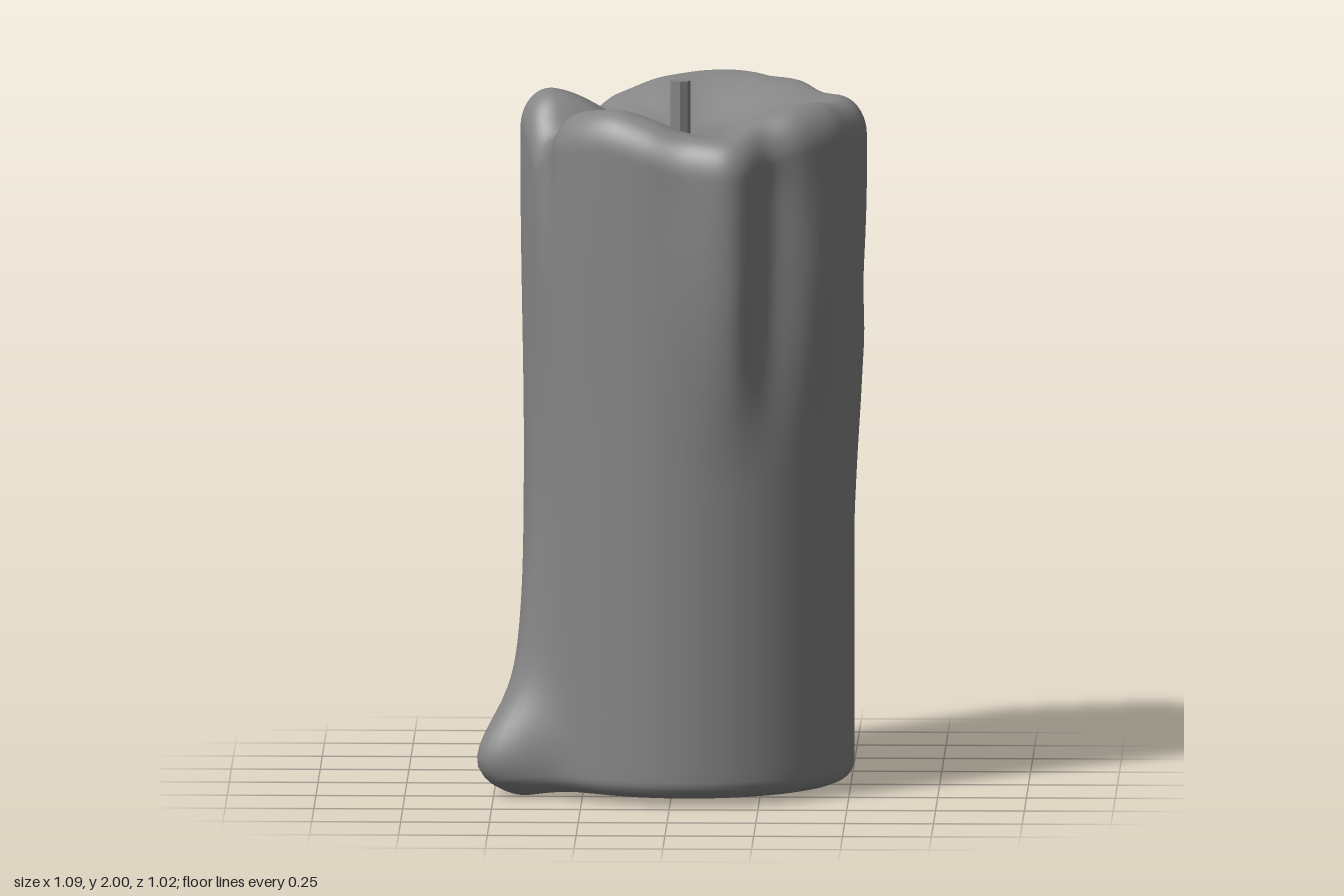
import * as THREE from 'three';

const CX = 0.045, BASE_R = 0.465, SEG = 180, COLOR = 0x858585;
const { smoothstep, lerp } = THREE.MathUtils;

// Values every 15 degrees, from +x round through +z (front)
const LIP_RADIUS = [.5, .498, .497, .485, .478, .525, .482, .467, .468, .472, .468, .458,
  .475, .475, .47, .478, .485, .475, .5, .515, .5, .488, .482, .486];
const RIM_HEIGHT = [1.96, 1.955, 1.97, 1.965, 1.93, 1.9, 1.905, 1.94, 1.965, 1.955, 1.935, 1.95,
  1.975, 1.96, 1.91, 1.87, 1.91, 1.95, 1.965, 1.97, 1.965, 1.96, 1.945, 1.95];

// Wax runs (positive) and grooves (negative): angle, width, depth, lowest y, highest y
const RUNS = [
  [10, 6, .022, .55, 1.55], [314, 6, .034, .7, 1.95], [285, 8, .01, .9, 1.8],
  [240, 5, .014, 1.1, 1.95], [215, 5, .009, .7, 1.5], [73, 6, .008, .9, 1.7],
  [40, 7, .01, .9, 1.8], [302, 5, -.024, .85, 2], [265, 6, -.02, 1, 2],
  [24, 5, -.012, .95, 1.95], [58, 8, -.02, .9, 2], [338, 6, -.008, 1.1, 1.95],
  [151, 7, -.04, 1.45, 2.05], [228, 7, -.01, 1.2, 1.95], [95, 8, -.008, 1.3, 1.95],
];

// Smooth periodic lookup in a 15 degree table
function around(table, deg) {
  const n = table.length, p = deg / 15, i = Math.floor(p), t = p - i;
  const [a, b, c, d] = [-1, 0, 1, 2].map((k) => table[(i + k + n) % n]);
  return b + 0.5 * t * (c - a + t * (2 * a - 5 * b + 4 * c - d + t * (3 * (b - c) + d - a)));
}

// Bell curve over the angle between deg and centre
function bell(deg, centre, width) {
  const d = ((deg - centre + 540) % 360) - 180;
  return Math.exp(-((d / width) ** 2));
}

const footBell = (deg) => bell(deg, 155, deg < 155 ? 13 : 16);

const rimHeight = (deg) => around(RIM_HEIGHT, deg) - 0.075 * bell(deg, 160, 8);

// Outer radius of the wax at an angle and height
function wallRadius(deg, y) {
  let r = BASE_R + (around(LIP_RADIUS, deg) - BASE_R) * smoothstep(y, 0.9, 1.75);
  for (const [angle, width, depth, low, high] of RUNS) {
    const fade = smoothstep(y, low, low + 0.6) * (1 - smoothstep(y, high - 0.3, high));
    r += depth * fade * bell(deg, angle, width);
  }
  // pooled drip at the foot, with a long tail up the wall
  const rise = y - 0.1, below = rise < 0;
  const pool = 0.11 * Math.exp(-((rise / (below ? 0.12 : 0.16)) ** 2))
    + 0.07 * Math.exp(-((rise / (below ? 0.15 : 0.5)) ** 2));
  return r + pool * footBell(deg);
}

// Rows from the centre of the underside, up the wall, over the lip and into the bowl
const ROWS = [];
for (const f of [0, 0.3, 0.6, 0.8, 0.93]) ROWS.push(['under', f]);
for (let i = 0; i <= 6; i++) ROWS.push(['edge', i / 6]);
for (let i = 1; i <= 56; i++) ROWS.push(['wall', i / 56]);
for (let i = 1; i <= 10; i++) ROWS.push(['lip', i / 10]);
for (let i = 1; i <= 24; i++) ROWS.push(['bowl', 1 - i / 24]);

function waxPoint([zone, t], deg) {
  const floor = 0.02 - 0.02 * footBell(deg) ** 2, corner = 0.05;
  const rim = rimHeight(deg), lipH = 0.11, lipW = 0.085;
  const q = t * Math.PI / 2;
  let r, y;
  if (zone === 'under') {
    y = lerp(0.02, floor, t ** 4);
    r = t * (wallRadius(deg, floor) - corner);
  } else if (zone === 'edge') {
    y = floor + corner * (1 - Math.cos(q));
    r = wallRadius(deg, y) - corner * (1 - Math.sin(q));
  } else if (zone === 'wall') {
    y = lerp(floor + corner, rim - lipH, t);
    r = wallRadius(deg, y);
  } else {
    const inner = wallRadius(deg, rim - lipH) - lipW;
    if (zone === 'lip') {
      y = rim - lipH * (1 - Math.sin(q));
      r = inner + lipW * Math.cos(q);
    } else {
      // even dish in the middle, following the rim only further out
      y = lerp(1.85 + 0.05 * t * t, rim, smoothstep(t, 0.3, 1.03));
      r = inner * t;
    }
  }
  const a = THREE.MathUtils.degToRad(deg);
  return [CX + r * Math.cos(a), y, r * Math.sin(a)];
}

function waxGeometry() {
  const pos = [], index = [], last = ROWS.length - 2;
  ROWS.forEach((row, j) => {
    for (let i = 0; i < SEG; i++) {
      pos.push(...waxPoint(row, (i * 360) / SEG));
      if (j > last) continue;
      const p = j * SEG + i, n = j * SEG + ((i + 1) % SEG);
      // single triangles at the two centres, quads elsewhere
      if (j < last) index.push(p, p + SEG, n + SEG);
      if (j > 0) index.push(p, j < last ? n + SEG : p + SEG, n);
    }
  });
  const g = new THREE.BufferGeometry();
  g.setAttribute('position', new THREE.Float32BufferAttribute(pos, 3));
  g.setIndex(index);
  g.computeVertexNormals();
  return g;
}

export function createModel() {
  const model = new THREE.Group();
  model.name = 'candle';

  // melted wax body
  const wax = new THREE.Mesh(waxGeometry(), new THREE.MeshStandardMaterial({ color: COLOR }));
  wax.name = 'waxBody';

  // wick
  const wick = new THREE.Mesh(
    new THREE.CylinderGeometry(0.028, 0.028, 0.2, 8),
    new THREE.MeshStandardMaterial({ color: COLOR, flatShading: true }),
  );
  wick.name = 'wick';
  wick.position.set(0.02, 1.9, -0.01);

  model.add(wax, wick);
  return model;
}
